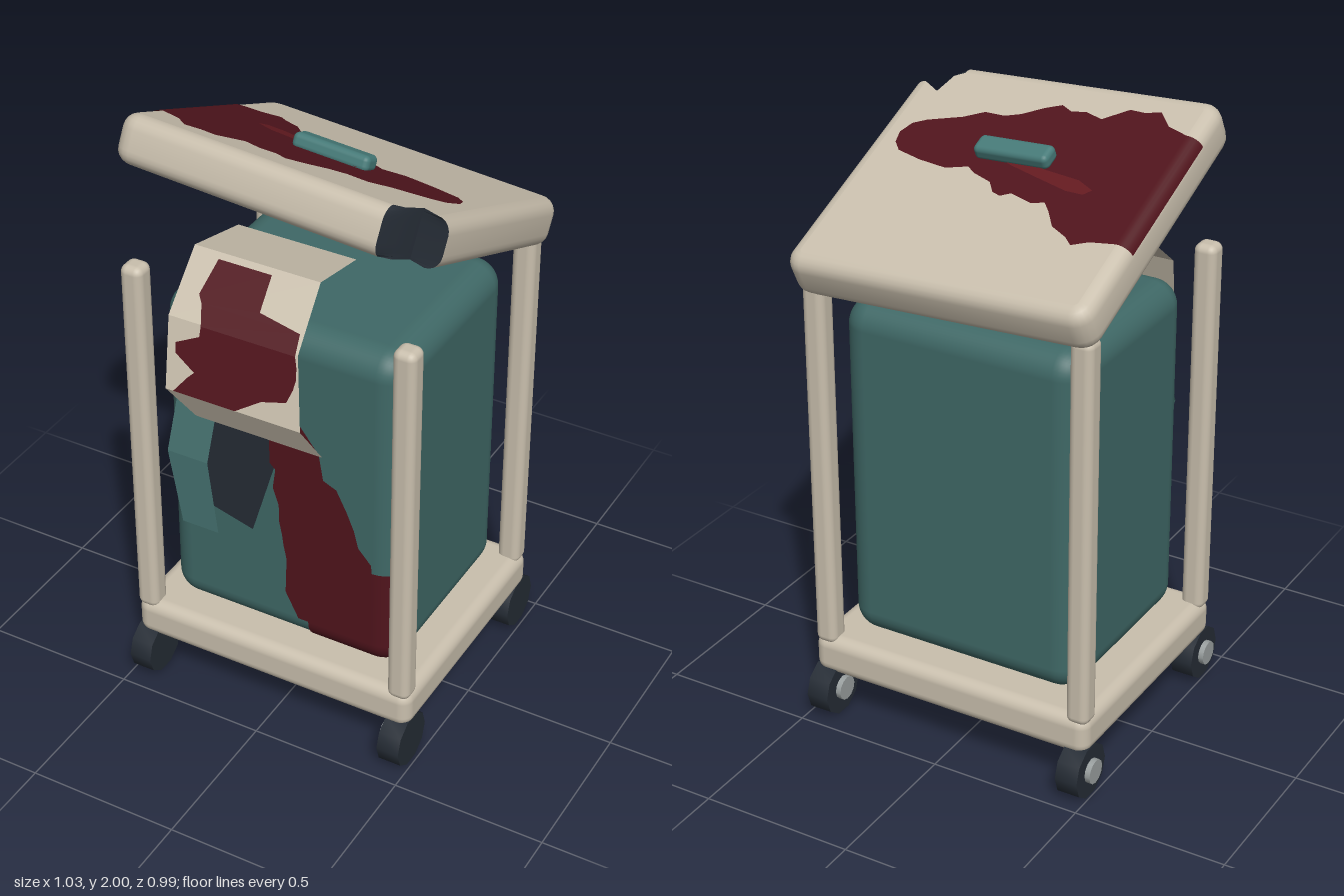
import * as THREE from 'three';
import { toCreasedNormals } from 'three/addons/utils/BufferGeometryUtils.js';
import { RoundedBoxGeometry } from 'three/addons/geometries/RoundedBoxGeometry.js';

const paint = (color) => new THREE.MeshStandardMaterial({ color, side: THREE.DoubleSide });
const CREAM = paint(0xc9bfad), TEAL = paint(0x3f6866), HANDLE = paint(0x467a78);
const DARK = paint(0x252c35), RED = paint(0x50141c), WET = paint(0x641a20), HUB = paint(0x9aa0a0);

function add(parent, name, geometry, material, x = 0, y = 0, z = 0) {
  const mesh = new THREE.Mesh(geometry, material);
  mesh.name = name;
  mesh.position.set(x, y, z);
  parent.add(mesh);
  return mesh;
}

// Surface through rows of points, one row above the other
function loft(rows, crease = 0.6) {
  const n = rows[0].length, index = [];
  for (let r = 0; r < rows.length - 1; r++) {
    for (let c = 0; c < n - 1; c++) {
      const a = r * n + c, b = a + n;
      index.push(a, a + 1, b + 1, a, b + 1, b);
    }
  }
  const g = new THREE.BufferGeometry();
  g.setAttribute('position', new THREE.Float32BufferAttribute(rows.flat(2), 3));
  g.setIndex(index);
  return toCreasedNormals(g, crease);
}

// Band from rows of [y, left x, right x, z], listed top to bottom
const band = (rows) => loft(rows.slice().reverse().map(([y, l, r, z]) => [[l, y, z], [r, y, z]]), 0.1);

// Flat piece lying in the xz plane from [x, z] points
function flat(points) {
  const shape = new THREE.Shape(points.map(([x, z]) => new THREE.Vector2(x, -z)));
  return new THREE.ShapeGeometry(shape).rotateX(-Math.PI / 2);
}

// Lid: rounded slab with a broken front corner
const LW = 0.515, LD = 0.46, LT = 0.075, EDGE = 0.045, CORNER = 0.06;
function lidOutline(inset) {
  const pts = [[LW - inset, 0.354]];
  [[1, -1, 0], [-1, -1, 1], [-1, 1, 2]].forEach(([sx, sz, q]) => {
    for (let k = 0; k <= 5; k++) {
      const a = (q + k / 5) * Math.PI / 2, r = CORNER - inset;
      pts.push([sx * (LW - CORNER) + r * Math.cos(a), sz * (LD - CORNER) - r * Math.sin(a)]);
    }
  });
  pts.push([0.36, LD - inset], [0.39, 0.395], [0.41, 0.32], [LW - inset, 0.354]);
  return pts;
}

function makeLid() {
  const lid = new THREE.Group();
  lid.name = 'lid';
  const rows = [];
  for (const side of [-1, 1]) {
    for (let k = 0; k <= 5; k++) {
      const a = (side < 0 ? k - 5 : k) / 5 * Math.PI / 2;
      const y = side * (LT - EDGE) + EDGE * Math.sin(a);
      rows.push(lidOutline(EDGE * (1 - Math.cos(a))).map(([x, z]) => [x, y, z]));
    }
  }
  const n = rows[0].length;
  add(lid, 'lidRim', loft(rows.map((r) => r.slice(0, n - 3))), CREAM);
  add(lid, 'brokenCorner', loft(rows.map((r) => r.slice(n - 4))), DARK);
  const cap = flat(lidOutline(EDGE).slice(0, -1));
  add(lid, 'lidTop', cap, CREAM, 0, LT, 0);
  add(lid, 'lidUnderside', cap.clone().rotateZ(Math.PI).scale(-1, 1, 1), CREAM, 0, -LT, 0);

  // Stain, laid out in plan and carried onto the sloping top
  const toLid = ([x, z]) => [x, (z + 0.074 - 0.025 * x) / 0.92];
  const stain = [
    [-0.47, -0.243], [-0.39, -0.25], [-0.34, -0.27], [-0.31, -0.245], [-0.25, -0.215], [-0.21, -0.165],
    [-0.18, -0.135], [-0.14, -0.145], [-0.06, -0.12], [-0.03, -0.135], [0, -0.125], [0.03, -0.09],
    [0.1, -0.065], [0.13, -0.045], [0.2, -0.062], [0.3, -0.045], [0.39, -0.02], [0.42, 0.01],
    [0.43, 0.05], [0.41, 0.09], [0.37, 0.11], [0.26, 0.14], [0.2, 0.17], [0.13, 0.165], [0.08, 0.18],
    [0.02, 0.215], [-0.03, 0.235], [-0.07, 0.215], [-0.12, 0.22], [-0.18, 0.2], [-0.25, 0.25],
    [-0.3, 0.245], [-0.35, 0.255], [-0.4, 0.205], [-0.47, 0.18],
  ].map(toLid);
  add(lid, 'lidStain', flat(stain), RED, 0, LT + 0.003, 0);
  const z0 = stain[0][1], z1 = stain[stain.length - 1][1];
  const wrap = new THREE.CylinderGeometry(EDGE + 0.003, EDGE + 0.003, z1 - z0, 6, 1, true, Math.PI, 1.3);
  add(lid, 'lidStainEdge', wrap.rotateX(Math.PI / 2), RED, EDGE - LW, LT - EDGE, (z0 + z1) / 2);
  const streak = [[-0.3, -0.07], [-0.28, -0.09], [-0.22, -0.085], [-0.1, -0.05], [0, -0.02], [0.1, 0.02],
    [0.1, 0.06], [0, 0.01], [-0.12, -0.02], [-0.24, -0.04]].map(toLid);
  add(lid, 'wetStreak', flat(streak), WET, 0, LT + 0.006, 0);
  add(lid, 'lidHandle', new RoundedBoxGeometry(0.255, 0.05, 0.07, 3, 0.018), HANDLE, 0.003, LT + 0.02, 0.1);

  lid.position.set(0, 1.74, -0.045);
  lid.rotation.set(-0.405, 0, -0.064);
  return lid;
}

export function createModel() {
  const model = new THREE.Group();
  model.name = 'wheeledBin';

  // Frame: base, posts and wheels
  add(model, 'base', new RoundedBoxGeometry(0.985, 0.135, 0.845, 4, 0.04), CREAM, 0, 0.222, -0.008);
  for (const x of [-0.455, 0.45]) {
    for (const z of [0.374, -0.392]) {
      add(model, 'post', new RoundedBoxGeometry(0.075, 1.28, 0.075, 3, 0.025), CREAM, x, 0.905, z);
      const wheel = new THREE.CylinderGeometry(0.09, 0.09, 0.075, 10).rotateZ(Math.PI / 2);
      add(model, 'wheel', toCreasedNormals(wheel, 0.8), DARK, x, 0.092, z);
      add(model, 'wheelHub', new THREE.CylinderGeometry(0.04, 0.04, 0.02, 12).rotateZ(Math.PI / 2), HUB, x - 0.045, 0.095, z);
    }
  }

  // Container
  const R = 0.085, X = 0.4075, FRONT = 0.334, BOTTOM = 0.295;
  add(model, 'container', new RoundedBoxGeometry(2 * X, 1.145, 0.688, 5, R), TEAL, 0, 0.8675, -0.01);

  // Tear in the front panel and the flap peeling off it
  const tear = new THREE.Shape([[-0.2, 1.13], [-0.27, 0.9], [-0.335, 0.735], [-0.095, 0.67], [-0.02, 0.92], [0.04, 1.12]]
    .map(([x, y]) => new THREE.Vector2(x, y)).reverse());
  add(model, 'tear', new THREE.ShapeGeometry(tear), DARK, 0, 0, FRONT + 0.003);
  add(model, 'tornFlap', band([
    [1.145, -0.34, -0.2, 0.338], [0.95, -0.33, -0.19, 0.435], [0.74, -0.255, -0.13, 0.48],
  ]), TEAL);

  // Stain running down the front and around the lower left corner
  const rx = X - R, fz = FRONT - R, by = BOTTOM + R, q = Math.PI / 2, r = R + 0.005;
  add(model, 'frontStain', band([
    [1.2, 0.01, 0.05], [1.13, -0.01, 0.07], [1.04, -0.03, 0.14], [0.95, -0.03, 0.155], [0.93, -0.01, 0.2],
    [0.86, -0.02, 0.235], [0.8, 0, 0.26], [0.74, 0, 0.275], [0.69, 0.01, 0.32], [0.65, 0.015, rx],
    [0.6, 0.025, rx], [0.47, 0.02, rx], [by, 0.065, rx],
  ].map((row) => [...row, fz + r])), RED);
  add(model, 'stainCorner', new THREE.CylinderGeometry(r, r, 0.66 - by, 8, 1, true, 0, q), RED, rx, (0.66 + by) / 2, fz);
  add(model, 'stainBottom', new THREE.CylinderGeometry(r, r, rx - 0.1, 8, 1, true, -q, q).rotateZ(q), RED, (rx + 0.1) / 2, by, fz);
  add(model, 'stainBottomCorner', new THREE.SphereGeometry(r, 8, 8, q, q, q, q), RED, rx, by, fz);

  // Folded cloth hanging out from under the lid, with its stain
  add(model, 'cloth', band([
    [1.48, -0.36, 0.05, -0.05], [1.57, -0.335, 0.09, 0.235], [1.435, -0.315, 0.12, 0.42],
    [1.225, -0.29, 0.165, 0.49], [1.12, -0.22, 0.21, 0.44],
  ]), CREAM);
  const clothZ = (y) => (y > 1.435 ? 0.235 + (1.57 - y) * 1.37 : 0.42 + (1.435 - y) / 3) + 0.008;
  add(model, 'clothStain', band([
    [1.56, -0.24, -0.06], [1.49, -0.25, -0.045], [1.475, -0.23, 0.1], [1.435, -0.2, 0.115], [1.405, -0.2, 0.125],
    [1.37, -0.275, 0.13], [1.34, -0.27, 0.125], [1.3, -0.2, 0.11], [1.28, -0.22, 0.03], [1.23, -0.26, -0.05],
  ].map(([y, a, b]) => [y, a, b, clothZ(y)])), RED);

  model.add(makeLid());
  return model;
}
